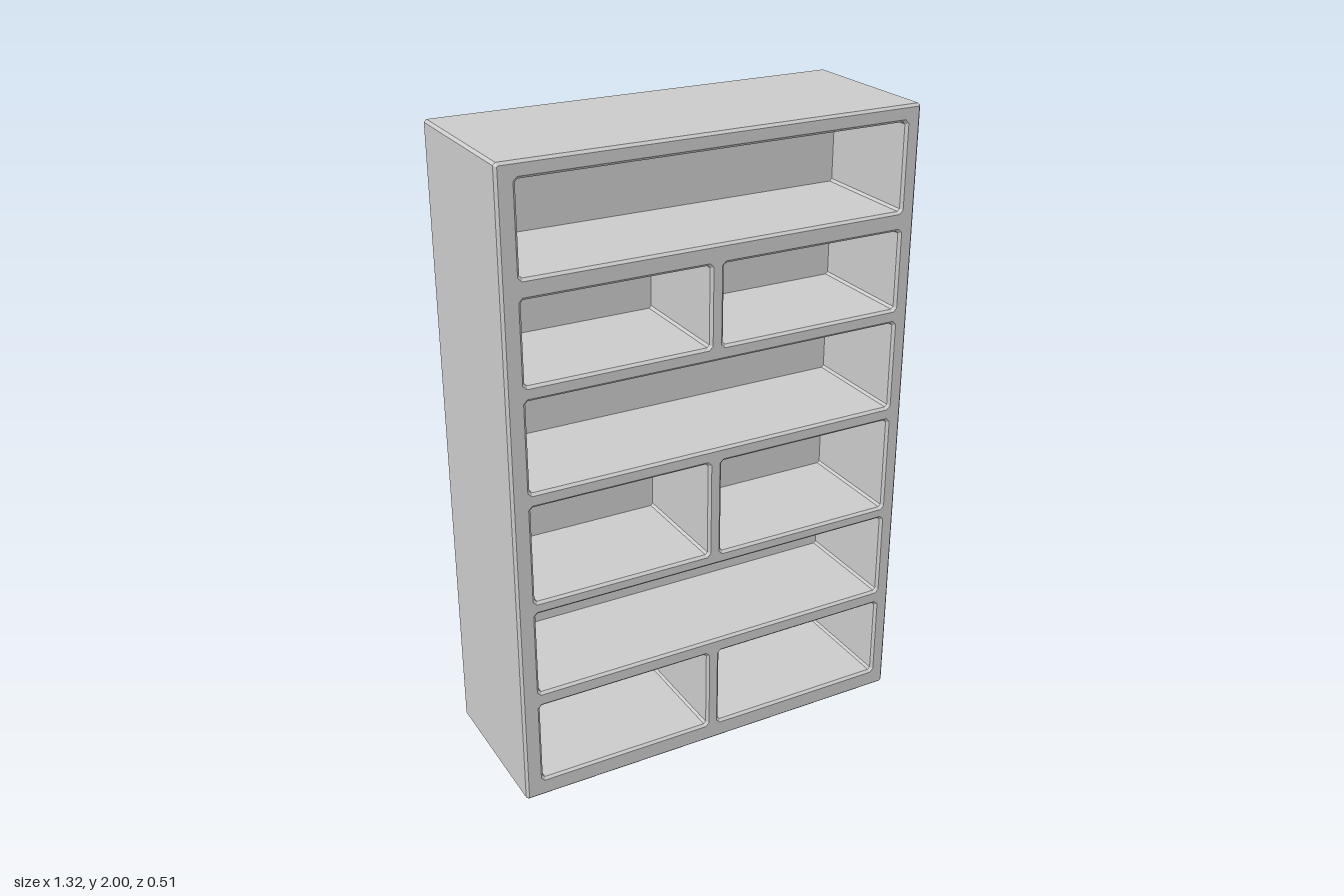
import * as THREE from 'three';

const W = 0.662, H = 2, D = 0.256; // half width, height, half depth
const BEVEL = 0.008;
const RECESS_BACK = -0.11; // z of the back wall inside the compartments

// Rectangle with slightly cut corners
function cutRect(path, x0, x1, y0, y1, c) {
  const pts = [
    [x0 + c, y0], [x1 - c, y0], [x1, y0 + c], [x1, y1 - c],
    [x1 - c, y1], [x0 + c, y1], [x0, y1 - c], [x0, y0 + c],
  ];
  path.setFromPoints(pts.map(([x, y]) => new THREE.Vector2(x, y)));
  path.closePath();
  return path;
}

export function createModel() {
  const group = new THREE.Group();
  group.name = 'bookcase';
  const material = new THREE.MeshStandardMaterial({ color: 0xcccccc });

  // Shelf rows: bottom, top, whether split by a divider
  const rows = [
    [0.055, 0.337, true], [0.37, 0.66, false], [0.685, 1.01, true],
    [1.04, 1.337, false], [1.367, 1.63, true], [1.675, 1.958, false],
  ];
  const openings = rows.flatMap(([y0, y1, split]) => split
    ? [[-0.612, -0.022, y0, y1], [0.006, 0.62, y0, y1]]
    : [[-0.612, 0.62, y0, y1]]);

  // Case with shelves and dividers, chamfered along every edge
  const outline = cutRect(new THREE.Shape(), -W + BEVEL, W - BEVEL, BEVEL, H - BEVEL, 0.003);
  for (const o of openings) outline.holes.push(cutRect(new THREE.Path(), ...o, 0.012));
  const frameGeometry = new THREE.ExtrudeGeometry(outline, {
    depth: 2 * (D - BEVEL), bevelEnabled: true, bevelSize: BEVEL,
    bevelThickness: BEVEL, bevelSegments: 1,
  });
  frameGeometry.translate(0, 0, -D + BEVEL);
  const frame = new THREE.Mesh(frameGeometry, material);
  frame.name = 'caseFrame';
  group.add(frame);

  // Solid back wall filling the rear of each compartment
  for (const [x0, x1, y0, y1] of openings) {
    const depth = RECESS_BACK + D;
    const panel = new THREE.Mesh(new THREE.BoxGeometry(x1 - x0, y1 - y0, depth), material);
    panel.position.set((x0 + x1) / 2, (y0 + y1) / 2, -D + depth / 2);
    panel.name = 'backPanel';
    group.add(panel);
  }
  return group;
}
